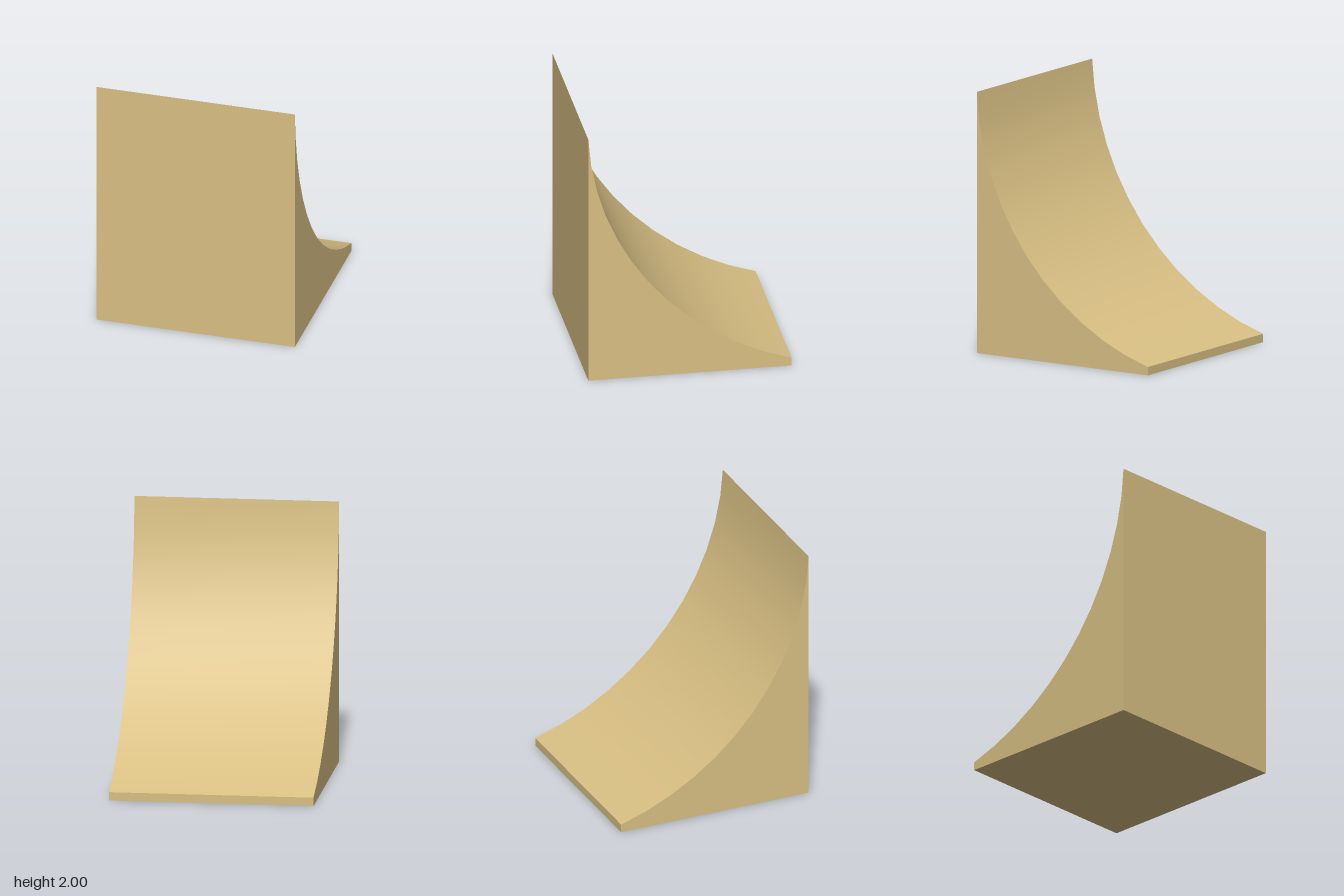
import * as THREE from 'three';
import { toCreasedNormals } from 'three/addons/utils/BufferGeometryUtils.js';

const WIDTH = 1.55;
const HALF = WIDTH / 2;

// Side outline: upright front, flat base, low back lip and a concave arc
function sideProfile() {
  const radius = 2.11, segments = 12;
  const start = THREE.MathUtils.degToRad(2.7);
  const end = THREE.MathUtils.degToRad(74.7);
  const centreZ = HALF - radius * Math.cos(start);
  const centreY = 2 + radius * Math.sin(start);
  const shape = new THREE.Shape();
  shape.moveTo(-HALF, 0);
  shape.lineTo(HALF, 0);
  for (let i = 0; i <= segments; i++) {
    const a = start + (end - start) * i / segments;
    const z = i === segments ? -HALF : centreZ + radius * Math.cos(a);
    shape.lineTo(z, centreY - radius * Math.sin(a));
  }
  shape.closePath();
  return shape;
}

export function createModel() {
  const group = new THREE.Group();
  group.name = 'curvedSlope';

  const tan = new THREE.MeshStandardMaterial({ color: 0xd8bf83 });
  tan.name = 'tan';

  // Solid block: outline extruded across the width, smooth only along the arc
  const solid = new THREE.ExtrudeGeometry(sideProfile(), { depth: WIDTH, bevelEnabled: false });
  solid.translate(0, 0, -HALF);
  solid.rotateY(-Math.PI / 2);
  const block = new THREE.Mesh(toCreasedNormals(solid, 0.4), tan);
  block.name = 'concaveSlopeBlock';
  group.add(block);

  return group;
}
